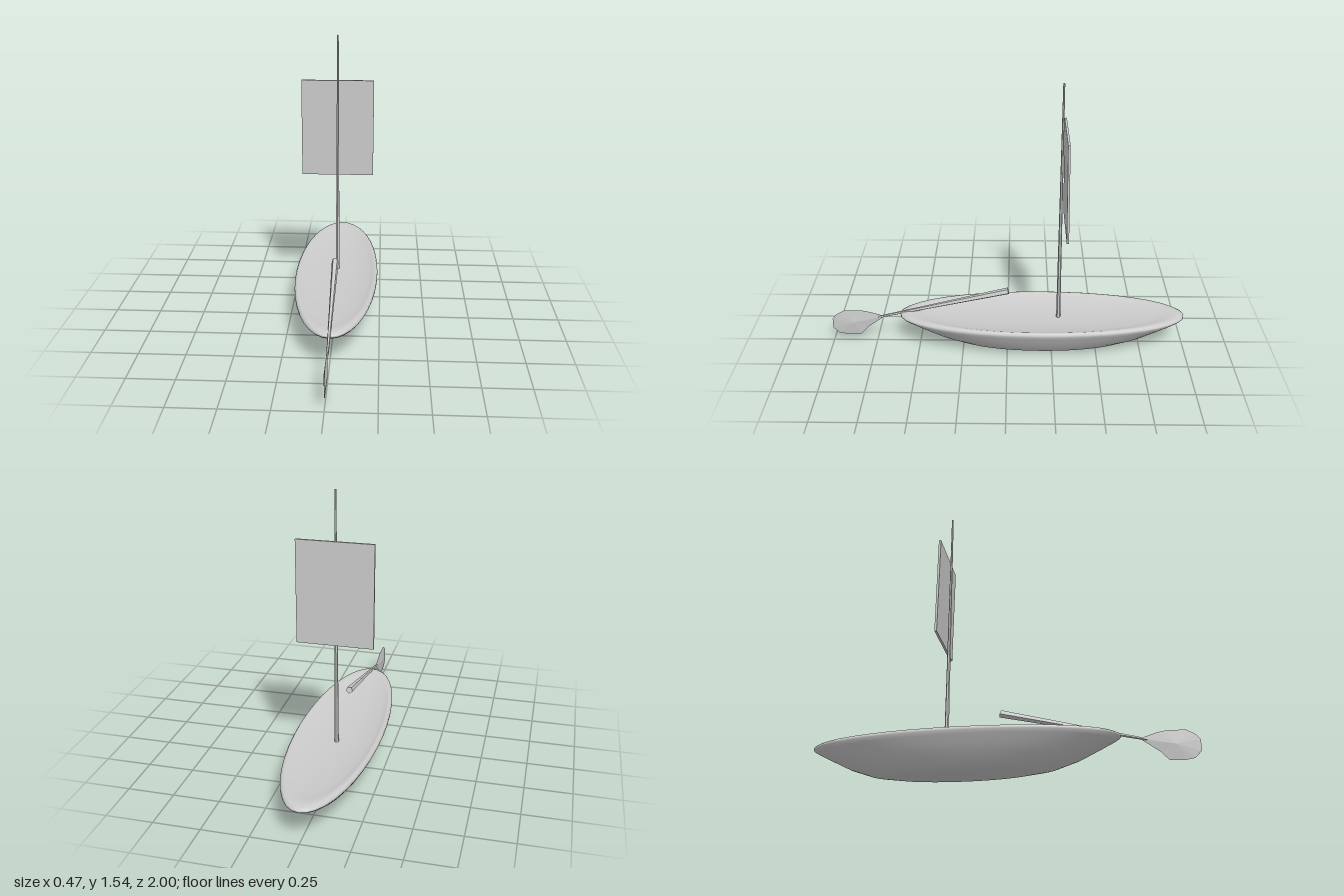
import * as THREE from 'three';

const smooth = () => new THREE.MeshStandardMaterial({ color: 0xcccccc });
const flat = () => new THREE.MeshStandardMaterial({ color: 0xcccccc, flatShading: true });

function add(group, name, geometry, material) {
  const mesh = new THREE.Mesh(geometry, material);
  mesh.name = name;
  group.add(mesh);
  return mesh;
}

// Tapered pole between two points
function pole(group, name, a, b, ra, rb, sides) {
  const dir = b.clone().sub(a);
  const mesh = add(group, name, new THREE.CylinderGeometry(rb, ra, dir.length(), sides), flat());
  mesh.position.copy(a).add(b).multiplyScalar(0.5);
  mesh.quaternion.setFromUnitVectors(new THREE.Vector3(0, 1, 0), dir.normalize());
  return mesh;
}

// Lens-like blade: a [z, y] outline joined to a raised centre on both sides
function bladeGeometry(outline, cz, cy, half) {
  const pos = [];
  outline.forEach(([z, y], i) => {
    const [z2, y2] = outline[(i + 1) % outline.length];
    pos.push(half, cy, cz, 0, y, z, 0, y2, z2);
    pos.push(-half, cy, cz, 0, y2, z2, 0, y, z);
  });
  const g = new THREE.BufferGeometry();
  g.setAttribute('position', new THREE.Float32BufferAttribute(pos, 3));
  g.computeVertexNormals();
  return g;
}

export function createModel() {
  const boat = new THREE.Group();
  boat.name = 'boat';

  // Hull: rounded underside, soft rim and shallow deck, stretched to an ellipse
  const profile = [
    [0, 0.004], [0.25, 0.006], [0.45, 0.012], [0.6, 0.03], [0.75, 0.073], [0.87, 0.122],
    [0.96, 0.16], [0.995, 0.178], [0.995, 0.188], [0.97, 0.197], [0.93, 0.2], [0.88, 0.195],
    [0.78, 0.184], [0.5, 0.172], [0.25, 0.168], [0, 0.167],
  ].map(([r, y]) => new THREE.Vector2(r, y));
  const hull = new THREE.LatheGeometry(profile, 40);
  hull.scale(0.236, 1, 0.808);
  hull.translate(0, 0, -0.195);
  add(boat, 'hull', hull, smooth());

  // Mast
  pole(boat, 'mast', new THREE.Vector3(0, 0.15, -0.289), new THREE.Vector3(0, 1.545, -0.286), 0.012, 0.005, 6);

  // Square sail, hung just behind the mast with a slight lean
  const sail = add(boat, 'sail', new THREE.BoxGeometry(0.405, 0.55, 0.012), flat());
  sail.position.set(-0.002, 1.015, -0.314);
  sail.rotation.x = 0.015;

  // Steering paddle resting over the front rim
  const paddle = new THREE.Group();
  paddle.name = 'paddle';
  pole(paddle, 'paddleShaft', new THREE.Vector3(0, 0.335, -0.005), new THREE.Vector3(0, 0.157, 0.74), 0.02, 0.006, 5);
  const outline = [
    [0.71, 0.167], [0.78, 0.19], [0.83, 0.2], [0.93, 0.2], [0.975, 0.175], [1, 0.145],
    [1, 0.085], [0.965, 0.05], [0.92, 0.043], [0.84, 0.046], [0.8, 0.09], [0.71, 0.157],
  ];
  const blade = add(paddle, 'paddleBlade', bladeGeometry(outline, 0.88, 0.125, 0.01), flat());
  blade.material.side = THREE.DoubleSide;
  boat.add(paddle);

  return boat;
}
